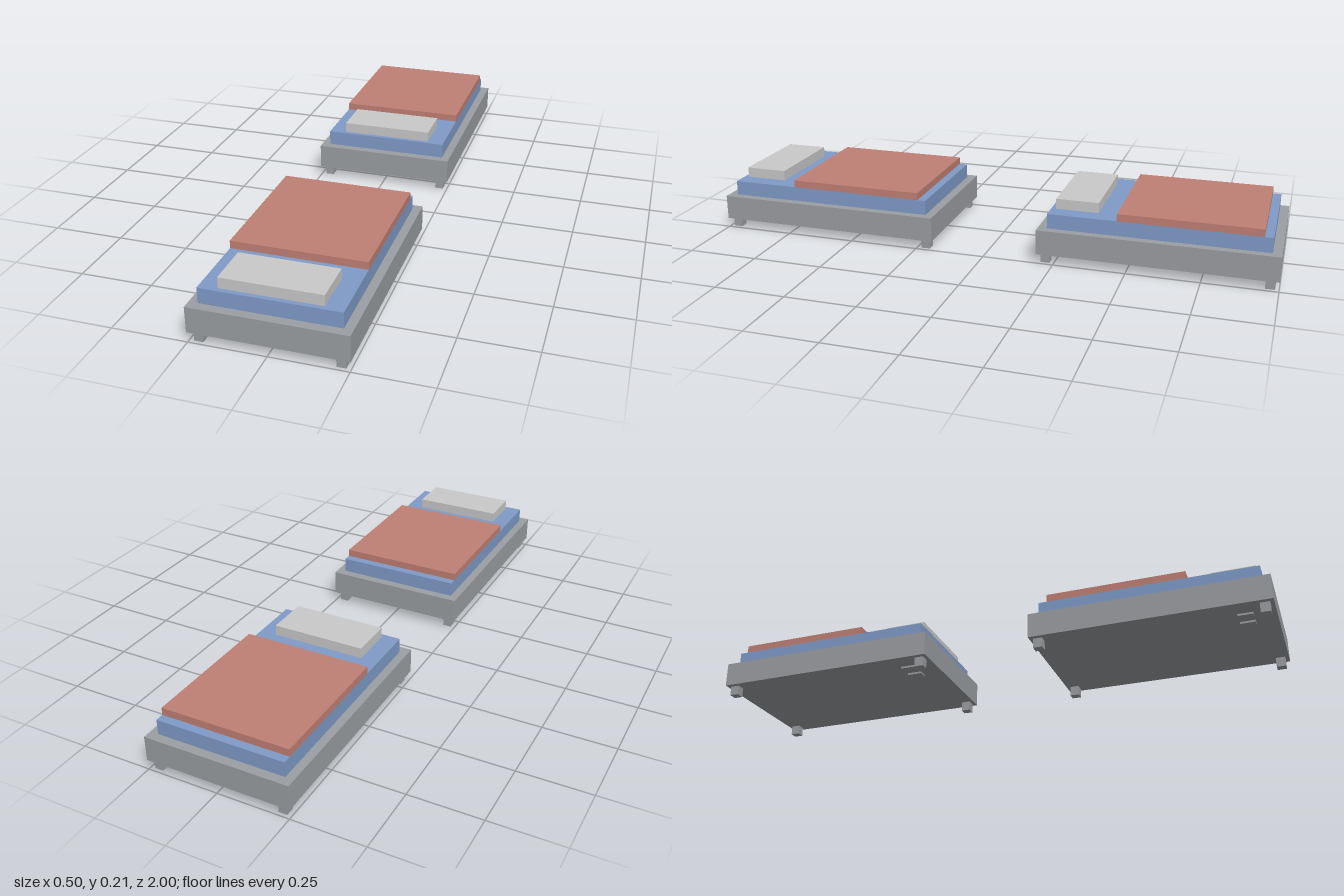
import * as THREE from 'three';

const mat = (name, color) => {
  const m = new THREE.MeshStandardMaterial({ color });
  m.name = name;
  return m;
};

// Box given by its minimum and maximum on each axis
function box(name, material, [x0, x1], [y0, y1], [z0, z1]) {
  const mesh = new THREE.Mesh(new THREE.BoxGeometry(x1 - x0, y1 - y0, z1 - z0), material);
  mesh.position.set((x0 + x1) / 2, (y0 + y1) / 2, (z0 + z1) / 2);
  mesh.name = name;
  return mesh;
}

function createBed(m) {
  const bed = new THREE.Group();
  bed.name = 'bed';

  // Base, mattress and bedding, with the pillow towards the front
  bed.add(
    box('frame', m.frame, [-0.252, 0.252], [0.034, 0.121], [-0.405, 0.405]),
    box('mattress', m.mattress, [-0.223, 0.223], [0.121, 0.173], [-0.374, 0.374]),
    box('blanket', m.blanket, [-0.223, 0.223], [0.173, 0.199], [-0.345, 0.135]),
    box('pillow', m.pillow, [-0.163, 0.163], [0.173, 0.209], [0.208, 0.358])
  );

  // Four short legs
  for (const x of [-0.22, 0.22]) {
    for (const z of [-0.376, 0.376]) {
      bed.add(box('leg', m.frame, [x - 0.015, x + 0.015], [0, 0.034], [z - 0.016, z + 0.016]));
    }
  }

  // Two small pads under the frame
  for (const x of [-0.165, -0.105]) {
    bed.add(box('underPad', m.frame, [x - 0.015, x + 0.015], [0.027, 0.034], [0.282, 0.333]));
  }
  return bed;
}

export function createModel() {
  const materials = {
    frame: mat('frame grey', 0x9b9ea2),
    mattress: mat('mattress blue', 0x7f9bc8),
    blanket: mat('blanket red', 0xc08074),
    pillow: mat('pillow white', 0xc9c9c9),
  };

  // Two identical beds, one behind the other
  const model = new THREE.Group();
  model.name = 'beds';
  for (const z of [0.595, -0.595]) {
    const bed = createBed(materials);
    bed.position.z = z;
    bed.name = z > 0 ? 'frontBed' : 'backBed';
    model.add(bed);
  }
  return model;
}
